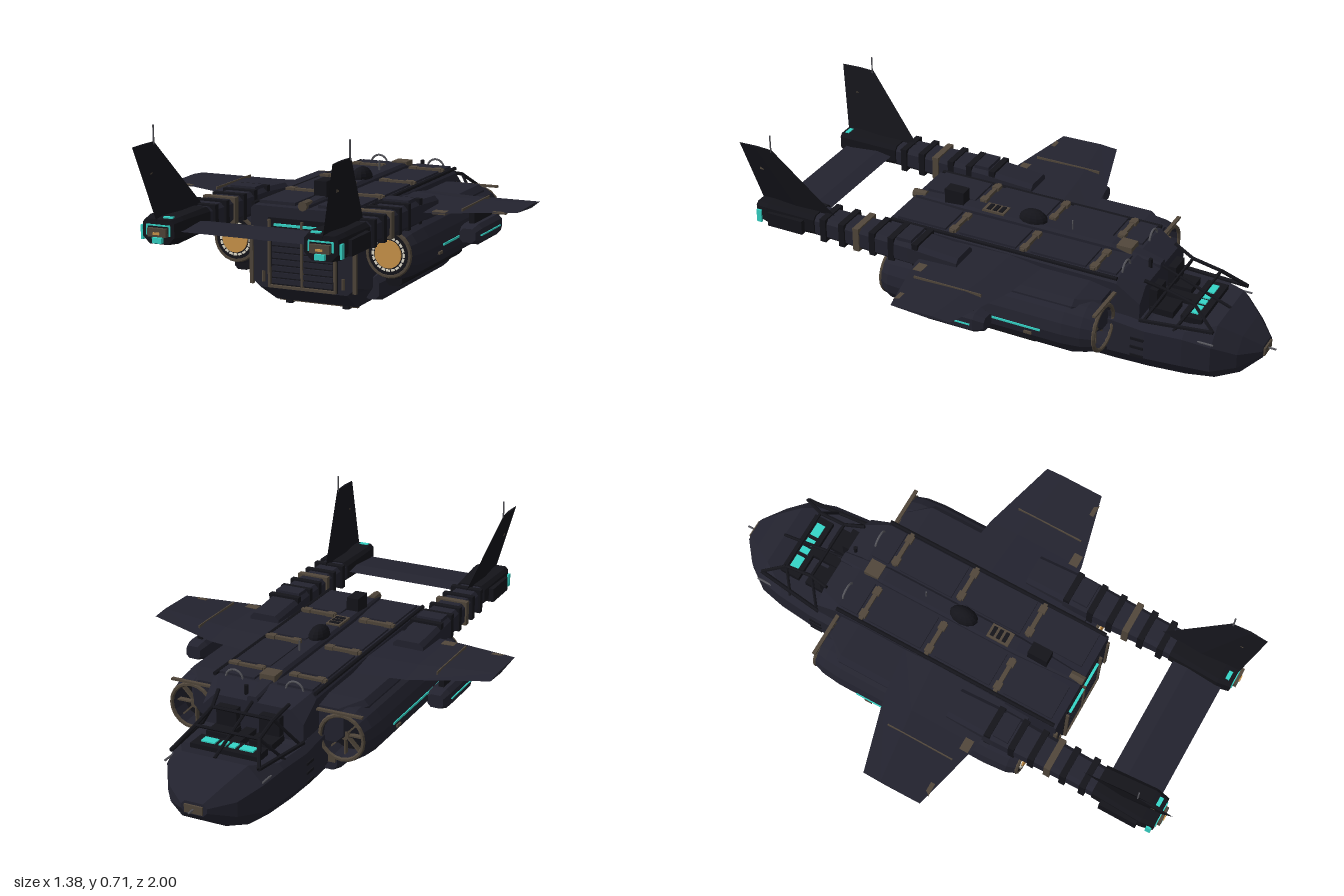
import * as THREE from 'three';

const mat = (name, color, side = THREE.FrontSide) => {
  const m = new THREE.MeshStandardMaterial({ color, side, flatShading: true });
  m.name = name;
  return m;
};

export function createModel() {
  const root = new THREE.Group();
  root.name = 'gunship';
  const hull = mat('navy hull', 0x23232f);
  const dark = mat('black trim', 0x14141a);
  const brown = mat('bronze brown', 0x51473b);
  const cyan = mat('cyan light', 0x35d6c8);
  const amber = mat('amber glow', 0xd0984c);
  const cream = mat('cream glow', 0xeae4d2);
  const grey = mat('grey metal', 0x56565c);

  const add = (name, geo, m, x = 0, y = 0, z = 0) => {
    const mesh = new THREE.Mesh(geo, m);
    mesh.name = name;
    mesh.position.set(x, y, z);
    root.add(mesh);
    return mesh;
  };
  // box given by its ranges on each axis
  const box = (name, m, x0, x1, y0, y1, z0, z1) =>
    add(name, new THREE.BoxGeometry(Math.abs(x1 - x0), y1 - y0, z1 - z0), m, (x0 + x1) / 2, (y0 + y1) / 2, (z0 + z1) / 2);
  // bar between two points
  const bar = (name, m, a, b, r = 0.005, sides = 6) => {
    const p = new THREE.Vector3(...a), q = new THREE.Vector3(...b);
    const d = q.clone().sub(p);
    const mesh = add(name, new THREE.CylinderGeometry(r, r, d.length(), sides), m);
    mesh.position.copy(p).add(q).multiplyScalar(0.5);
    mesh.quaternion.setFromUnitVectors(new THREE.Vector3(0, 1, 0), d.normalize());
    return mesh;
  };
  // closed skin through rings of equal point count, wound outward by its signed volume
  const loft = (rings) => {
    const n = rings[0].length, tris = [];
    for (let i = 0; i < rings.length - 1; i++) for (let j = 0; j < n; j++) {
      const k = (j + 1) % n, a = rings[i], b = rings[i + 1];
      tris.push([a[j], a[k], b[k]], [a[j], b[k], b[j]]);
    }
    const first = rings[0], last = rings[rings.length - 1];
    for (let j = 1; j < n - 1; j++) tris.push([first[0], first[j + 1], first[j]], [last[0], last[j], last[j + 1]]);
    let vol = 0;
    const v = (p) => new THREE.Vector3(...p);
    tris.forEach(([a, b, c]) => { vol += v(a).dot(v(b).cross(v(c))); });
    const pos = tris.flatMap(([a, b, c]) => (vol > 0 ? [...a, ...b, ...c] : [...a, ...c, ...b]));
    const g = new THREE.BufferGeometry();
    g.setAttribute('position', new THREE.Float32BufferAttribute(pos, 3));
    g.computeVertexNormals();
    return g;
  };
  // eight-sided section: centre x, half width, bottom, top, corner cuts
  const oct = (z, cx, w, y0, y1, cb, ct, hb = cb) => [
    [cx + w - cb, y0, z], [cx + w, y0 + hb, z], [cx + w, y1 - ct, z], [cx + w - ct, y1, z],
    [cx - w + ct, y1, z], [cx - w, y1 - ct, z], [cx - w, y0 + hb, z], [cx - w + cb, y0, z]];

  // fuselage, cabin block and nose with a low cockpit sill
  add('fuselage', loft([
    oct(0.47, 0, 0.205, 0.08, 0.375, 0.035, 0.012, 0.03), oct(0.36, 0, 0.205, 0.012, 0.38, 0.045, 0.012, 0.07),
    oct(-0.46, 0, 0.205, 0.012, 0.38, 0.045, 0.02, 0.07), oct(-0.55, 0, 0.2, 0.015, 0.345, 0.045, 0.05, 0.07)]), hull);
  add('nose', loft([
    oct(-0.44, 0, 0.228, 0.018, 0.25, 0.06, 0.03, 0.07), oct(-0.58, 0, 0.225, 0.02, 0.225, 0.06, 0.02, 0.07),
    oct(-0.72, 0, 0.212, 0.022, 0.225, 0.06, 0.02, 0.07), oct(-0.82, 0, 0.188, 0.024, 0.245, 0.06, 0.06, 0.06),
    oct(-0.9, 0, 0.13, 0.045, 0.195, 0.045, 0.05, 0.045), oct(-0.965, 0, 0.05, 0.098, 0.145, 0.015, 0.015)]), hull);
  box('noseSensor', brown, -0.035, 0.035, 0.105, 0.135, -0.972, -0.96);
  bar('pitotProbe', grey, [0, 0.12, -0.96], [0, 0.12, -1], 0.004);

  // cockpit: dashboard, displays, seats and canopy frame
  box('dashboard', dark, -0.13, 0.13, 0.215, 0.25, -0.76, -0.68);
  for (let i = 0; i < 4; i++) {
    const x = [-0.075, -0.019, 0.019, 0.075][i], w = i % 3 ? 0.013 : 0.027;
    box('display', cyan, x - w, x + w, 0.25, 0.255, -0.735, -0.7);
  }
  box('centreConsole', dark, -0.02, 0.02, 0.21, 0.25, -0.68, -0.56);
  const canopy = [[0.17, 0.24, -0.82], [0.125, 0.305, -0.73], [0.12, 0.33, -0.62], [0.14, 0.36, -0.54]];
  for (const s of [1, -1]) {
    box('seatBase', dark, s * 0.04, s * 0.13, 0.21, 0.25, -0.65, -0.56);
    box('seatBack', dark, s * 0.045, s * 0.125, 0.22, 0.32, -0.585, -0.555);
    for (let i = 0; i < 3; i++)
      bar('canopyRail', dark, [s * canopy[i][0], ...canopy[i].slice(1)], [s * canopy[i + 1][0], ...canopy[i + 1].slice(1)], 0.007);
    bar('canopyPost', dark, [s * 0.195, 0.22, -0.68], [s * 0.125, 0.305, -0.73], 0.006);
    bar('canopyPost', dark, [s * 0.2, 0.22, -0.56], [s * 0.12, 0.33, -0.62], 0.006);
    bar('canopySill', dark, [s * 0.2, 0.23, -0.55], [s * 0.17, 0.24, -0.82], 0.008);
    bar('sideProbe', grey, [s * 0.19, 0.2, -0.76], [s * 0.19, 0.2, -0.83], 0.004);
    // grab hoops behind the cockpit
    add('hoop', new THREE.TorusGeometry(0.034, 0.004, 6, 16, Math.PI), grey, s * 0.12, 0.375, -0.46);
  }
  bar('canopyArch', dark, [-0.125, 0.305, -0.73], [0.125, 0.305, -0.73], 0.006);
  bar('canopyArch', dark, [-0.12, 0.33, -0.62], [0.12, 0.33, -0.62], 0.006);
  bar('windscreenBar', dark, [0, 0.245, -0.82], [0, 0.345, -0.55], 0.006);

  // roof: spine, panels, cross ribs and equipment
  add('spine', loft([oct(0.46, 0, 0.018, 0.36, 0.392, 0.005, 0.006), oct(0.2, 0, 0.035, 0.36, 0.402, 0.005, 0.01),
    oct(-0.36, 0, 0.035, 0.36, 0.402, 0.005, 0.01), oct(-0.55, 0, 0.02, 0.33, 0.365, 0.005, 0.006)]), hull);
  box('spineHatch', brown, -0.03, 0.03, 0.37, 0.404, -0.44, -0.38);
  box('spineVent', brown, -0.028, 0.028, 0.398, 0.407, 0.08, 0.17);
  for (let i = 0; i < 3; i++) box('ventSlat', dark, -0.02, 0.02, 0.405, 0.41, 0.09 + i * 0.025, 0.105 + i * 0.025);
  box('sensorBox', dark, -0.024, 0.024, 0.39, 0.45, 0.25, 0.33);
  bar('tailSensor', brown, [0, 0.385, 0.42], [0, 0.385, 0.475], 0.018, 8);
  const dome = add('radarDome', new THREE.SphereGeometry(0.036, 12, 6, 0, Math.PI * 2, 0, Math.PI / 2), dark, 0, 0.4, -0.03);
  dome.scale.set(1, 1.2, 1.6);
  bar('roofAntenna', grey, [0, 0.4, -0.19], [0, 0.44, -0.19], 0.003);
  bar('roofPost', dark, [0.04, 0.33, -0.52], [0.04, 0.39, -0.52], 0.008);
  for (const s of [1, -1]) {
    for (const z of [-0.36, -0.08, 0.21]) {
      box('roofRib', brown, s * 0.05, s * 0.195, 0.378, 0.392, z - 0.008, z + 0.008);
      for (const x of [0.07, 0.17]) box('ribClamp', brown, s * (x - 0.015), s * (x + 0.015), 0.378, 0.394, z - 0.014, z + 0.014);
    }
    for (const [a, b] of [[-0.45, -0.38], [-0.33, -0.11], [-0.05, 0.18], [0.24, 0.44]])
      box('roofPanel', hull, s * 0.045, s * 0.185, 0.375, 0.388, a, b);
    bar('roofRail', dark, [s * 0.2, 0.378, -0.46], [s * 0.2, 0.378, 0.46], 0.008);
  }

  // rear ramp with slats and frame
  box('rampPanel', dark, -0.135, 0.135, 0.085, 0.335, 0.46, 0.474);
  for (let i = 0; i < 9; i++) box('rampSlat', hull, -0.118, 0.118, 0.1 + i * 0.023, 0.117 + i * 0.023, 0.47, 0.48);
  for (const x of [-0.128, 0, 0.128]) box('rampPost', brown, x - 0.004, x + 0.004, 0.085, 0.33, 0.472, 0.486);
  box('rampSill', brown, -0.13, 0.13, 0.085, 0.094, 0.472, 0.486);
  box('rampLight', cyan, -0.108, 0.108, 0.308, 0.316, 0.474, 0.484);
  for (const s of [1, -1]) bar('rampRam', brown, [s * 0.155, 0.1, 0.47], [s * 0.155, 0.14, 0.47], 0.007);

  // belly frames and skids
  for (const s of [1, -1]) box('bellySkid', dark, s * 0.1, s * 0.125, 0, 0.02, -0.54, 0.36);
  for (const z of [-0.36, -0.18, 0, 0.18, 0.34]) box('bellyFrame', brown, -0.155, 0.155, 0.005, 0.02, z - 0.006, z + 0.006);
  for (const x of [-0.05, 0.05]) box('bellyRail', brown, x - 0.004, x + 0.004, 0.006, 0.02, -0.5, 0.35);

  // engine nacelle skin with open intake, turned about its own axis
  const skin = [[0.03, 0.405], [0.085, 0.405], [0.1, 0.37], [0.108, 0.28], [0.109, -0.34], [0.102, -0.41], [0.088, -0.455], [0.078, -0.455], [0.07, -0.38], [0.005, -0.38]];
  const disc = (name, m, r, depth, x, z, sides = 20) =>
    add(name, new THREE.CylinderGeometry(r, r, depth, sides).rotateX(Math.PI / 2), m, x, 0.23, z);

  for (const s of [1, -1]) {
    const X = s * 0.3;
    const nac = new THREE.LatheGeometry(skin.map(([r, z]) => new THREE.Vector2(r, -z)), 16).rotateX(-Math.PI / 2);
    add('nacelle', nac, hull, X, 0.23, 0);
    add('intakeRing', new THREE.TorusGeometry(0.084, 0.008, 6, 20), brown, X, 0.23, -0.455);
    disc('intakeFan', dark, 0.07, 0.01, X, -0.385);
    disc('fanHub', brown, 0.018, 0.05, X, -0.41, 10);
    for (let i = 0; i < 4; i++) {
      const blade = add('fanSpoke', new THREE.BoxGeometry(0.15, 0.006, 0.02), brown, X, 0.23, -0.42);
      blade.rotation.z = (i * Math.PI) / 4;
    }
    // exhaust rings, glow and ticks
    add('exhaustRim', new THREE.TorusGeometry(0.08, 0.008, 6, 24), brown, X, 0.23, 0.405);
    disc('exhaustPlate', dark, 0.077, 0.01, X, 0.405);
    disc('exhaustGlow', amber, 0.05, 0.012, X, 0.411);
    for (let i = 0; i < 20; i++) {
      const a = (i * Math.PI) / 10;
      const t = add('exhaustTick', new THREE.BoxGeometry(0.008, 0.014, 0.008), cream, X + Math.cos(a) * 0.058, 0.23 + Math.sin(a) * 0.058, 0.409);
      t.rotation.z = a;
    }
    // nacelle fairings, bands and side lights
    add('shoulderFairing', loft([oct(0.36, s * 0.25, 0.09, 0.2, 0.33, 0.03, 0.02), oct(0.2, s * 0.25, 0.11, 0.16, 0.345, 0.03, 0.02),
      oct(-0.36, s * 0.25, 0.11, 0.16, 0.345, 0.03, 0.02), oct(-0.44, s * 0.24, 0.06, 0.2, 0.33, 0.03, 0.02)]), hull);
    box('intakeBrace', brown, s * 0.2, s * 0.38, 0.318, 0.326, -0.462, -0.448);
    add('nacelleKeel', loft([oct(0.36, X, 0.03, 0.105, 0.16, 0.012, 0.005), oct(-0.2, X, 0.035, 0.105, 0.16, 0.012, 0.005)]), dark);
    box('sideLight', cyan, s * 0.404, s * 0.412, 0.221, 0.229, -0.26, 0.17);
    for (const z of [-0.21, 0.19]) box('nacelleLatch', brown, s * 0.395, s * 0.41, 0.195, 0.205, z - 0.015, z + 0.015);

    // lower sponson with frame straps
    add('sponson', loft([oct(0.33, s * 0.2, 0.03, 0.04, 0.12, 0.015, 0.02), oct(0.28, s * 0.2, 0.042, 0.03, 0.13, 0.02, 0.025),
      oct(-0.3, s * 0.2, 0.042, 0.03, 0.13, 0.02, 0.025), oct(-0.35, s * 0.2, 0.03, 0.04, 0.12, 0.015, 0.02)]), hull);
    box('sponsonLine', grey, s * 0.24, s * 0.244, 0.08, 0.084, -0.15, 0.07);
    box('hullStrap', brown, s * 0.2, s * 0.232, 0.02 + 0.06, 0.23, -0.37, -0.355);
    for (let i = 0; i < 3; i++) box('sideStep', dark, s * 0.2, s * 0.23, 0.09 + i * 0.035, 0.1 + i * 0.035, -0.58, -0.53);
    box('rearFrame', brown, s * 0.195, s * 0.208, 0.09, 0.3, 0.465, 0.478);

    // wing, with bands
    const chord = (x, z0, z1, y, t) => [[s * x, y, z0], [s * x, y + t, z0 + (z1 - z0) * 0.3], [s * x, y + t * 0.5, z1], [s * x, y - t, z0 + (z1 - z0) * 0.4]];
    add('wing', loft([chord(0.19, -0.17, 0.26, 0.345, 0.018), chord(0.4, -0.14, 0.25, 0.345, 0.015), chord(0.69, -0.055, 0.18, 0.363, 0.006)]), hull);
    box('wingTipFlap', brown, s * 0.6, s * 0.65, 0.358, 0.364, 0.175, 0.192);
    box('wingRootFlap', brown, s * 0.39, s * 0.44, 0.346, 0.356, 0.2, 0.235);
    box('wingSeam', brown, s * 0.488, s * 0.492, 0.352, 0.367, -0.07, 0.2);
    // underwing pod
    add('pod', loft([oct(0.17, s * 0.5, 0.03, 0.24, 0.29, 0.012, 0.012), oct(0.13, s * 0.5, 0.04, 0.228, 0.302, 0.015, 0.015),
      oct(-0.06, s * 0.5, 0.04, 0.228, 0.302, 0.015, 0.015), oct(-0.1, s * 0.5, 0.03, 0.24, 0.29, 0.012, 0.012)]), hull);
    box('podPylon', dark, s * 0.49, s * 0.51, 0.29, 0.35, -0.05, 0.13);
    box('podLight', cyan, s * 0.538, s * 0.544, 0.262, 0.267, -0.05, 0.14);

    // tail boom with collars and raised boxes
    add('boom', loft([oct(0.1, X, 0.06, 0.31, 0.385, 0.015, 0.015), oct(0.3, X, 0.064, 0.31, 0.4, 0.015, 0.015),
      oct(0.6, X, 0.055, 0.315, 0.4, 0.015, 0.015), oct(0.93, X, 0.05, 0.325, 0.4, 0.015, 0.015)]), hull);
    box('boomBand', brown, X - 0.064, X + 0.064, 0.312, 0.406, 0.505, 0.53);
    for (const z of [0.27, 0.37, 0.45, 0.58, 0.66]) box('boomCollar', dark, X - 0.063, X + 0.063, 0.312, 0.406, z - 0.012, z + 0.012);
    box('boomBox', hull, X - 0.05, X + 0.05, 0.39, 0.412, 0.29, 0.35);
    box('boomSidePod', dark, s * 0.34, s * 0.382, 0.33, 0.385, 0.74, 0.89);
    add('boomTail', loft([oct(0.7, X, 0.06, 0.32, 0.405, 0.02, 0.015), oct(0.9, X, 0.07, 0.315, 0.41, 0.025, 0.012),
      oct(0.95, X, 0.06, 0.32, 0.405, 0.025, 0.012)]), dark);
    // tail lamp cluster
    box('tailLampFrame', cyan, X - 0.045, X + 0.045, 0.382, 0.387, 0.945, 0.954);
    for (const k of [-1, 1]) box('tailLampSide', cyan, X + k * 0.043 - 0.003, X + k * 0.043 + 0.003, 0.35, 0.385, 0.945, 0.954);
    box('tailVent', brown, X - 0.035, X + 0.035, 0.347, 0.376, 0.945, 0.965);
    box('tailVentLight', amber, X - 0.012, X + 0.012, 0.355, 0.363, 0.962, 0.969);
    box('tailLamp', cyan, X - 0.018, X + 0.018, 0.325, 0.344, 0.945, 0.965);
    box('tailSideLight', cyan, s * 0.364, s * 0.372, 0.33, 0.38, 0.925, 0.945);
    box('tailTopLight', cyan, s * 0.255, s * 0.29, 0.402, 0.412, 0.92, 0.935);

    // canted fin with antenna
    const fin = (x, y, z0, z1, t) => [[s * x, y, z0], [s * (x + t), y, (z0 + z1) / 2], [s * x, y, z1], [s * (x - t), y, (z0 + z1) / 2]];
    add('fin', loft([fin(0.305, 0.39, 0.63, 0.95, 0.012), fin(0.365, 0.65, 0.86, 1, 0.005)]), dark);
    box('finMark', brown, s * 0.338, s * 0.347, 0.545, 0.555, 0.915, 0.93);
    bar('finAntenna', grey, [s * 0.363, 0.64, 0.865], [s * 0.363, 0.708, 0.865], 0.003);
  }

  // tailplane between the booms
  add('tailplane', loft([-0.26, 0.26].map((x) => [[x, 0.36, 0.72], [x, 0.372, 0.78], [x, 0.362, 0.92], [x, 0.35, 0.8]])), hull);
  return root;
}
